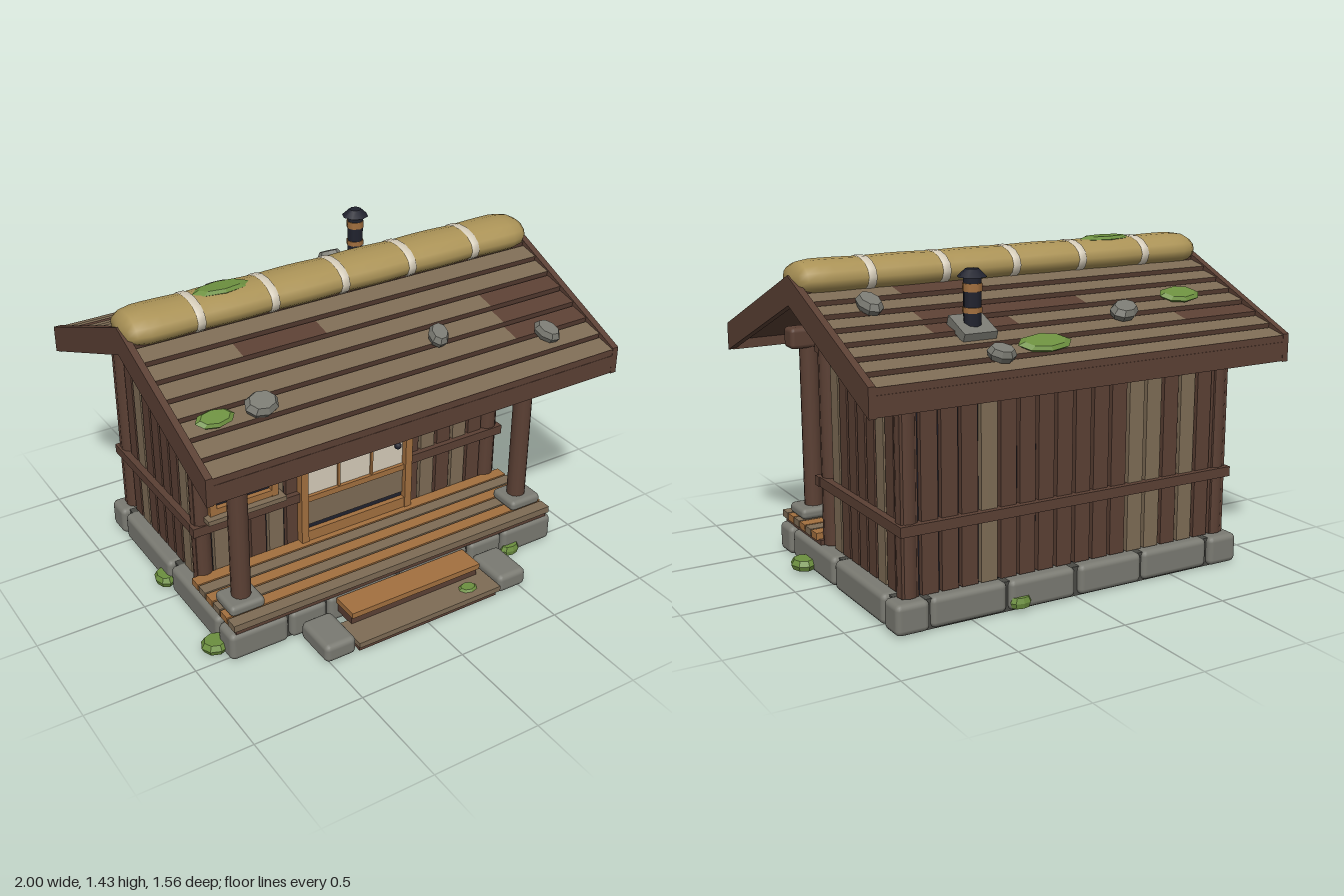
import * as THREE from 'three';
import { RoundedBoxGeometry } from 'three/addons/geometries/RoundedBoxGeometry.js';

const material = (name, color) => {
  const m = new THREE.MeshStandardMaterial({ color });
  m.name = name;
  return m;
};

export function createModel() {
  const model = new THREE.Group();
  model.name = 'woodenHut';

  const stone = material('stone grey', 0x7a7a72);
  const darkStone = material('dark stone', 0x4a4a45);
  const brown = material('dark brown wood', 0x5b4034);
  const tan = material('weathered wood', 0x7e6c55);
  const copper = material('warm wood', 0xa3703f);
  const thatch = material('straw', 0xab9357);
  const cream = material('paper cream', 0xd6cdba);
  const navy = material('dark blue', 0x20222e);
  const moss = material('moss green', 0x6c8f3f);

  const RIDGE_Z = -0.04, SLOPE = 0.42, TILT = Math.atan(SLOPE), RUN = 0.737;
  const roofY = (z) => 1.36 - SLOPE * Math.abs(z - RIDGE_Z);

  function add(name, geo, mat, x = 0, y = 0, z = 0, parent = model) {
    const mesh = new THREE.Mesh(geo, mat);
    mesh.name = name;
    mesh.position.set(x, y, z);
    parent.add(mesh);
    return mesh;
  }
  // Box given by its extents, rounded if r is set
  function box(name, mat, x0, x1, y0, y1, z0, z1, r = 0) {
    const s = [x1 - x0, y1 - y0, z1 - z0];
    const geo = r ? new RoundedBoxGeometry(...s, 2, r) : new THREE.BoxGeometry(...s);
    return add(name, geo, mat, (x0 + x1) / 2, (y0 + y1) / 2, (z0 + z1) / 2);
  }
  // Outline in (z, y) extruded from x0 to x1
  function prism(name, mat, pts, x0, x1) {
    const shape = new THREE.Shape(pts.map(([z, y]) => new THREE.Vector2(z, y)));
    const geo = new THREE.ExtrudeGeometry(shape, { depth: x1 - x0, bevelEnabled: false });
    geo.rotateY(-Math.PI / 2);
    return add(name, geo, mat, x1);
  }
  const post = (name, mat, x, z, r, y0, y1) =>
    add(name, new THREE.CylinderGeometry(r, r, y1 - y0, 12), mat, x, (y0 + y1) / 2, z);

  // Foundation slab and its ring of stones
  box('foundationSlab', darkStone, -0.81, 0.81, 0, 0.13, -0.64, 0.51);
  const block = (x0, x1, z0, z1) => box('foundationStone', stone, x0, x1, 0.004, 0.136, z0, z1, 0.025);
  for (const s of [-1, 1]) {
    const side = (a, b, z0, z1) => block(Math.min(s * a, s * b), Math.max(s * a, s * b), z0, z1);
    side(0.72, 0.845, -0.045, 0.4);
    side(0.72, 0.845, -0.53, -0.06);
    side(0.7, 0.85, -0.67, -0.545);
    side(0.57, 0.85, 0.415, 0.54);
    side(0.38, 0.56, 0.42, 0.54);
    side(0.01, 0.37, 0.42, 0.535);
    side(0.01, 0.33, -0.665, -0.55);
    side(0.34, 0.69, -0.66, -0.55);
  }

  // Porch deck
  box('deckFrame', brown, -0.82, 0.82, 0.134, 0.158, 0.13, 0.53);
  for (let i = 0; i < 6; i++) {
    const z = 0.15 + i * 0.066;
    box('deckBoard', i % 2 ? tan : copper, -0.832, 0.832, 0.155, 0.187, z, z + 0.058);
  }

  // Front steps
  for (const s of [-1, 1])
    box('stepStone', stone, s * 0.45 - 0.075, s * 0.45 + 0.075, 0.008, 0.095, 0.55, 0.765, 0.025);
  box('lowerStep', tan, -0.37, 0.37, 0.04, 0.065, 0.62, 0.778);
  box('lowerStepRiser', brown, -0.36, 0.36, 0.01, 0.04, 0.62, 0.76);
  box('upperStep', copper, -0.335, 0.335, 0.104, 0.13, 0.535, 0.665);
  box('upperStepRiser', brown, -0.33, 0.33, 0.06, 0.104, 0.54, 0.65);

  // Dark wall core that shows between the planks
  prism('wallCore', navy, [[0.12, 0.135], [0.12, roofY(0.12) - 0.06], [RIDGE_Z, 1.3],
    [-0.595, roofY(-0.595) - 0.06], [-0.595, 0.135]], -0.755, 0.755);

  // Front and back wall planks
  const lightFront = [1, 4, 6, 13, 15], lightBack = [2, 4, 5, 13];
  for (let i = 0; i < 18; i++) {
    const x = -0.765 + i * 0.09;
    box('frontPlank', lightFront.includes(i) ? tan : brown, x - 0.037, x + 0.037, 0.14, 1.22, 0.11, 0.145);
    box('backPlank', lightBack.includes(i) ? tan : brown, x - 0.037, x + 0.037, 0.14, 1.07, -0.62, -0.585);
  }
  // Gable wall planks cut to the roof slope
  for (let i = 0; i < 7; i++) {
    const z = 0.02 - i * 0.0858, a = z - 0.035, b = z + 0.035;
    const pts = [[a, 0.14], [b, 0.14], [b, roofY(b) - 0.06], [a, roofY(a) - 0.06]];
    const mat = i === 0 || i === 5 ? tan : brown;
    prism('gablePlank', mat, pts, 0.74, 0.785);
    prism('gablePlank', mat, pts, -0.785, -0.74);
  }

  // Corner posts, porch columns, footings and braces
  for (const s of [-1, 1]) {
    post('cornerPost', brown, s * 0.763, 0.122, 0.043, 0.14, 1.22);
    post('cornerPost', brown, s * 0.763, -0.588, 0.043, 0.14, 1.06);
    post('porchColumn', brown, s * 0.73, 0.412, 0.043, 0.235, 1.0);
    box('columnFooting', stone, s * 0.735 - 0.082, s * 0.735 + 0.082, 0.187, 0.237, 0.335, 0.49, 0.02);
    const brace = add('porchBrace', new THREE.BoxGeometry(0.3, 0.04, 0.04), brown, s * 0.62, 0.885, 0.412);
    brace.rotation.z = -s * 0.8;
    // Wall rails
    box('sideRail', brown, s * 0.79 - 0.025, s * 0.79 + 0.025, 0.403, 0.447, -0.645, 0.17);
    box('frontRail', brown, s * 0.558 - 0.262, s * 0.558 + 0.262, 0.403, 0.447, 0.13, 0.17);
  }
  box('backRail', brown, -0.815, 0.815, 0.403, 0.447, -0.645, -0.6);
  box('porchBeam', brown, -0.83, 0.83, 0.965, 1.06, 0.365, 0.457, 0.02);
  box('wallPlate', brown, -0.8, 0.8, 0.99, 1.055, 0.12, 0.18);

  // Sliding door
  box('doorPaper', cream, -0.262, 0.258, 0.41, 0.985, 0.146, 0.155);
  box('doorPanel', tan, -0.262, 0.258, 0.26, 0.4, 0.146, 0.16);
  box('doorGap', navy, -0.262, 0.258, 0.235, 0.262, 0.146, 0.155);
  box('doorThreshold', copper, -0.262, 0.258, 0.187, 0.238, 0.14, 0.18);
  box('doorRail', copper, -0.262, 0.258, 0.388, 0.416, 0.14, 0.172);
  box('doorHead', copper, -0.297, 0.293, 0.96, 0.99, 0.14, 0.186);
  for (const x of [-0.279, 0.275]) box('doorJamb', copper, x - 0.018, x + 0.018, 0.187, 0.985, 0.13, 0.185);
  for (const x of [-0.09, 0.085]) box('doorBar', copper, x - 0.006, x + 0.006, 0.41, 0.97, 0.15, 0.165);
  for (const y of [0.55, 0.69, 0.82]) box('doorBar', copper, -0.262, 0.258, y - 0.006, y + 0.006, 0.15, 0.164);
  add('doorKnob', new THREE.SphereGeometry(0.017, 10, 8), navy, 0.218, 0.53, 0.175);

  // Window
  const wx = -0.575;
  box('windowGlass', navy, wx - 0.14, wx + 0.14, 0.51, 0.9, 0.146, 0.154);
  for (const s of [-1, 1]) box('windowFrame', copper, wx + s * 0.15 - 0.016, wx + s * 0.15 + 0.016, 0.49, 0.905, 0.14, 0.18);
  for (const y of [0.505, 0.89]) box('windowFrame', copper, wx - 0.166, wx + 0.166, y - 0.015, y + 0.015, 0.14, 0.178);
  for (const y of [0.64, 0.8]) box('windowBar', copper, wx - 0.14, wx + 0.14, y - 0.007, y + 0.007, 0.15, 0.166);
  box('windowBar', copper, wx - 0.007, wx + 0.007, 0.51, 0.89, 0.15, 0.168);
  box('windowSill', tan, wx - 0.19, wx + 0.19, 0.468, 0.49, 0.14, 0.21);

  // Roof deck, gable boards and eave boards
  const zF = RIDGE_Z + RUN, zB = RIDGE_Z - RUN;
  const chevron = (top, bottom) => [[zF, roofY(zF) - top], [RIDGE_Z, 1.36 - top], [zB, roofY(zB) - top],
    [zB, roofY(zB) - bottom], [RIDGE_Z, 1.36 - bottom], [zF, roofY(zF) - bottom]];
  prism('roofDeck', brown, chevron(0.035, 0.085), -0.975, 0.975);
  prism('gableBoard', brown, chevron(0, 0.122), 0.97, 1);
  prism('gableBoard', brown, chevron(0, 0.122), -1, -0.97);
  box('eaveBoard', brown, -0.985, 0.985, 0.932, 1.046, zF - 0.025, zF - 0.001);
  box('eaveBoard', brown, -0.985, 0.985, 0.932, 1.046, zB + 0.001, zB + 0.025);

  // Overlapping roof planks in rows of five, with darker replacements
  const step = RUN / 8, lean = 0.21;
  const plankGeo = new THREE.BoxGeometry(0.389, 0.03, step);
  const patches = [['2,1', '3,4', '4,4', '5,4'], ['5,0', '4,3', '3,2', '3,3', '1,3']];
  patches.forEach((dark, back) => {
    const half = new THREE.Group();
    half.name = back ? 'backRoofPlanks' : 'frontRoofPlanks';
    half.position.z = RIDGE_Z;
    half.rotation.y = back ? Math.PI : 0;
    model.add(half);
    for (let row = 0; row < 8; row++) for (let k = 0; k < 5; k++) {
      const top = dark.includes(`${row},${back ? 4 - k : k}`) ? brown : tan;
      const low = 1.355 - SLOPE * (row + 1) * step;
      const plank = add('roofPlank', plankGeo, [top, top, top, top, brown, top],
        (k - 2) * 0.389, low + step / 2 * Math.tan(lean) - 0.015, (row + 0.5) * step - 0.003, half);
      plank.rotation.x = lean;
    }
  });

  // Straw ridge roll, pinched at its ties
  const profile = [[0, -0.995], [0.085, -0.985], [0.112, -0.955]];
  for (let i = 0; i <= 32; i++) {
    const x = -0.9 + i * 0.05625;
    profile.push([0.12 + 0.006 * Math.abs(Math.sin(x * Math.PI / 0.34)), x]);
  }
  profile.push([0.112, 0.955], [0.085, 0.985], [0, 0.995]);
  const roll = (pts) => new THREE.LatheGeometry(pts.map(([r, x]) => new THREE.Vector2(r, x)), 14)
    .rotateZ(-Math.PI / 2).scale(1, 0.6, 1);
  add('ridgeRoll', roll(profile), thatch, 0, 1.345, RIDGE_Z - 0.004);
  for (let i = -2; i <= 2; i++)
    add('ridgeTie', roll([[0.11, -0.018], [0.127, -0.017], [0.127, 0.017], [0.11, 0.018]]), cream,
      i * 0.34, 1.345, RIDGE_Z - 0.004);

  // Stove pipe
  const cx = 0.415, cz = -0.505;
  add('pipeFlashing', new THREE.BoxGeometry(0.15, 0.04, 0.145), stone, cx, roofY(cz) + 0.005, cz).rotation.x = -TILT;
  const ring = (name, mat, r0, r1, y0, y1) =>
    add(name, new THREE.CylinderGeometry(r0, r1, y1 - y0, 8), mat, cx, (y0 + y1) / 2, cz);
  ring('stovePipe', navy, 0.037, 0.037, 1.12, 1.38);
  ring('pipeBand', copper, 0.041, 0.041, 1.315, 1.347);
  ring('pipeBand', copper, 0.041, 0.041, 1.23, 1.252);
  ring('pipeCap', navy, 0.028, 0.062, 1.372, 1.404);

  // Low eight-sided lumps: roof weights and moss
  function lump(name, mat, x, y, z, w, h, d, tilt = 0, turn = 0) {
    const pts = [[0, -0.5], [0.42, -0.5], [0.5, 0], [0.38, 0.5], [0, 0.5]];
    const geo = new THREE.LatheGeometry(pts.map(([r, v]) => new THREE.Vector2(r, v)), 8).toNonIndexed();
    geo.scale(w, h, d).rotateY(turn).rotateX(tilt);
    geo.computeVertexNormals();
    add(name, geo, mat, x, y, z);
  }
  const onRoof = (name, mat, h, list) => list.forEach(([x, z, w, d, turn]) =>
    lump(name, mat, x, roofY(z) + h * 0.35, z, w, h, d, z > RIDGE_Z ? TILT : -TILT, turn));
  onRoof('roofStone', stone, 0.05, [[0.395, -0.7, 0.12, 0.09, -0.5], [-0.31, -0.52, 0.15, 0.11, 0.4],
    [0.765, -0.305, 0.1, 0.14, 0.2], [-0.64, 0.48, 0.15, 0.12, 0.1], [0.245, 0.41, 0.09, 0.12, -0.4],
    [0.725, 0.54, 0.09, 0.13, 0.4]]);
  onRoof('roofMoss', moss, 0.025, [[0.17, -0.655, 0.25, 0.125, 0], [-0.665, -0.435, 0.21, 0.12, 0],
    [-0.84, 0.475, 0.17, 0.09, 0]]);
  lump('ridgeMoss', moss, -0.53, 1.415, -0.045, 0.27, 0.025, 0.11);
  for (const [x, y, z, w, d] of [[0.87, 0.04, 0.21, 0.12, 0.13], [-0.87, 0.04, 0.43, 0.13, 0.12],
    [-0.85, 0.04, -0.1, 0.09, 0.12], [0.28, 0.04, -0.66, 0.1, 0.06], [0.61, 0.035, 0.54, 0.1, 0.06],
    [0.24, 0.065, 0.71, 0.09, 0.07]])
    lump('groundMoss', moss, x, y, z, w, y > 0.06 ? 0.02 : 0.045, d);

  return model;
}
